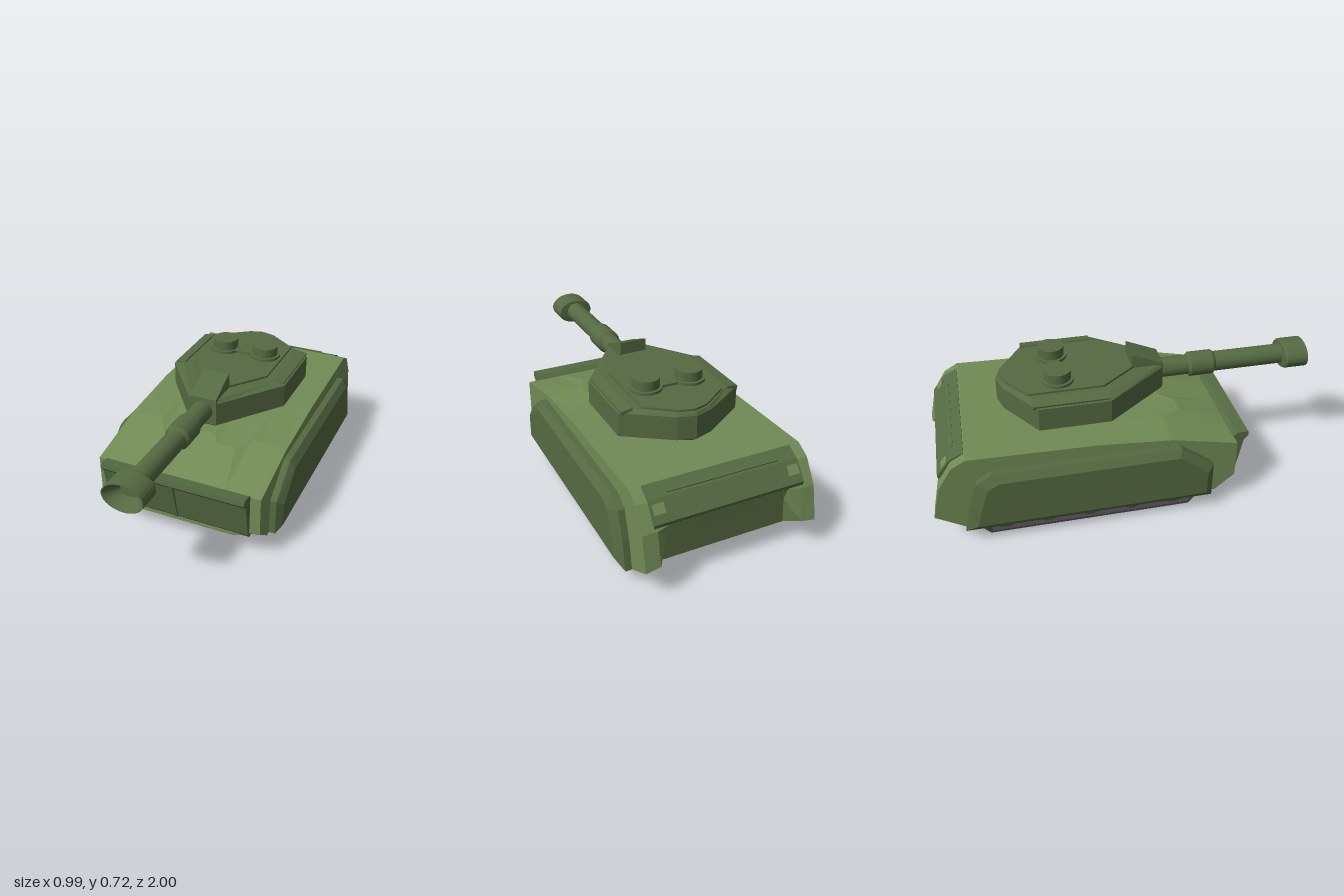
import * as THREE from 'three';

const mat = (color) => new THREE.MeshStandardMaterial({ color, flatShading: true, side: THREE.DoubleSide });
const HULL = mat(0x718b55), DARK = mat(0x556a42), TRACK = mat(0x454346), WHEEL = mat(0x5c5a5e);

function add(parent, name, geometry, material) {
  const mesh = new THREE.Mesh(geometry, material);
  mesh.name = name;
  parent.add(mesh);
  return mesh;
}

// Closed solid through rings of equal point count; each ring is [2D points, level].
// place(a, b, level) maps a ring point into space.
function loft(rings, place) {
  const n = rings[0][0].length, pos = [], idx = [];
  for (const [pts, level] of rings) for (const [a, b] of pts) pos.push(...place(a, b, level));
  for (let r = 0; r < rings.length - 1; r++) {
    for (let i = 0; i < n; i++) {
      const j = (i + 1) % n, a = r * n + i, b = r * n + j;
      idx.push(a, b, b + n, a, b + n, a + n);
    }
  }
  const cap = (r, flip) => {
    const pts = rings[r][0].map(([a, b]) => new THREE.Vector2(a, b));
    const ccw = !THREE.ShapeUtils.isClockWise(pts);
    for (const [a, b, c] of THREE.ShapeUtils.triangulateShape(pts, [])) {
      const t = [a + r * n, b + r * n, c + r * n];
      if (flip === ccw) t.reverse();
      if (!ccw) t.reverse();
      if (THREE.ShapeUtils.isClockWise(pts)) t.reverse();
      idx.push(...t);
    }
  };
  cap(0, true);
  cap(rings.length - 1, false);
  // Turn every face outwards if the enclosed volume comes out negative
  const v = (i) => new THREE.Vector3().fromArray(pos, i * 3);
  let volume = 0;
  for (let i = 0; i < idx.length; i += 3) volume += v(idx[i]).dot(v(idx[i + 1]).cross(v(idx[i + 2])));
  if (volume < 0) idx.reverse();
  const g = new THREE.BufferGeometry();
  g.setAttribute('position', new THREE.Float32BufferAttribute(pos, 3));
  g.setIndex(idx);
  const flat = g.toNonIndexed();
  flat.computeVertexNormals();
  return flat;
}
const alongX = (z, y, x) => [x, y, z];
const alongY = (x, z, y) => [x, y, z];
const mirrorX = (half) => [...half, ...half.filter(([x]) => x > 0).reverse().map(([x, z]) => [-x, z])];
const prism = (profile, x0, x1) => loft([[profile, x0], [profile, x1]], alongX);

function buildHull(group) {
  // Side profile (z, y); front crease, lower nose and tail change with x
  const section = (bottomZ, nose, crease, tailTop, tail) => [
    [bottomZ, 0.075], nose, [0.51, 0.36], crease, [-0.2, 0.465],
    [-0.82, 0.48], [-0.89, 0.44], tailTop, tail, [-0.86, 0.075],
  ];
  const half = [
    [section(0.41, [0.51, 0.16], [0.17, 0.435], [-0.96, 0.33], [-1, 0.16]), 0.433],
    [section(0.42, [0.515, 0.145], [0.17, 0.44], [-0.96, 0.33], [-0.995, 0.17]), 0.36],
    [section(0.45, [0.52, 0.115], [0.17, 0.445], [-0.95, 0.34], [-0.925, 0.27]), 0.3],
    [section(0.45, [0.52, 0.115], [0.17, 0.45], [-0.95, 0.34], [-0.925, 0.27]), 0.25],
    [section(0.45, [0.52, 0.115], [0.27, 0.44], [-0.95, 0.34], [-0.92, 0.26]), 0.2],
    [section(0.45, [0.52, 0.115], [0.27, 0.44], [-0.95, 0.34], [-0.915, 0.25]), 0.1],
    [section(0.45, [0.52, 0.115], [0.2, 0.45], [-0.95, 0.34], [-0.915, 0.25]), 0.06],
  ];
  const rings = [...half, ...half.slice().reverse().map(([p, x]) => [p, -x])];
  add(group, 'hull', loft(rings, alongX), HULL);

  // Overhanging bow plate with a lip and a centre rib
  const bow = [[0.47, 0.13], [0.51, 0.125], [0.53, 0.15], [0.565, 0.335], [0.588, 0.36], [0.583, 0.384], [0.525, 0.38], [0.48, 0.34]];
  add(group, 'bowPlate', prism(bow, -0.38, 0.38), DARK);
  add(group, 'bowRib', prism([[0.51, 0.135], [0.54, 0.15], [0.587, 0.365], [0.53, 0.36]], -0.01, 0.01), DARK);

  // Rear deck panel with a slot and two lamps
  const panel = [[-0.825, 0.483], [-0.893, 0.449], [-0.96, 0.365], [-0.955, 0.345], [-0.88, 0.42], [-0.82, 0.46]];
  add(group, 'rearPanel', prism(panel, -0.375, 0.375), DARK);
  add(group, 'rearSlot', prism([[-0.872, 0.464], [-0.882, 0.46], [-0.88, 0.44], [-0.87, 0.44]], -0.28, 0.28), DARK);
  for (const s of [-1, 1]) {
    const lamp = [[-0.908, 0.435], [-0.938, 0.398], [-0.93, 0.385], [-0.9, 0.42]];
    add(group, 'rearLamp', prism(lamp, s * 0.31, s * 0.365), HULL);
  }

  // Armoured side skirts with a bevelled outer face
  const full = [[0.382, 0.075], [0.382, 0.27], [0.21, 0.4], [-0.71, 0.4], [-0.785, 0.355], [-0.83, 0.22], [-0.86, 0.075]];
  const inset = [[0.382, 0.115], [0.382, 0.24], [0.2, 0.362], [-0.68, 0.362], [-0.735, 0.33], [-0.775, 0.21], [-0.8, 0.115]]
    .map(([z, y]) => [z > 0.3 ? z - 0.035 : z, y]);
  for (const s of [-1, 1]) {
    add(group, 'sideSkirt', loft([[full, s * 0.4], [full, s * 0.465], [inset, s * 0.493]], alongX), DARK);
  }
}

function buildTrack(group, side) {
  const track = new THREE.Group();
  track.name = side > 0 ? 'leftTrack' : 'rightTrack';
  const belt = [[0.345, 0.085], [0.272, 0], [-0.745, 0], [-0.82, 0.085], [-0.803, 0.085], [-0.737, 0.012], [0.264, 0.012], [0.328, 0.085]];
  add(track, 'belt', prism(belt, side * 0.31, side * 0.425), TRACK);
  for (let i = 0; i < 5; i++) {
    const z = 0.195 - i * 0.215;
    for (const [name, r, x, w, m] of [['wheel', 0.069, 0.367, 0.09, TRACK], ['wheelDisc', 0.05, 0.367, 0.1, WHEEL], ['wheelHub', 0.025, 0.367, 0.112, TRACK]]) {
      const wheel = add(track, name, new THREE.CylinderGeometry(r, r, w, 20).rotateZ(Math.PI / 2), m);
      wheel.position.set(side * x, 0.08, z);
    }
  }
  group.add(track);
}

function buildTurret(group) {
  const turret = new THREE.Group();
  turret.name = 'turret';
  const plan = mirrorX([[0.072, 0.213], [0.314, -0.105], [0.314, -0.458], [0.09, -0.605], [0, -0.632]]);
  const scaled = (kx, kz) => plan.map(([x, z]) => [x * kx, -0.21 + (z + 0.21) * kz]);
  add(turret, 'turretBody', loft([[scaled(0.7, 0.94), 0.487], [plan, 0.507], [plan, 0.627], [scaled(0.85, 0.98), 0.642]], alongY), DARK);
  const ring = add(turret, 'turretRing', new THREE.CylinderGeometry(0.19, 0.19, 0.04, 32), DARK);
  ring.position.set(0, 0.475, -0.2);

  // Raised roof plate
  const roof = mirrorX([[0.07, 0.06], [0.21, -0.12], [0.21, -0.49], [0.07, -0.59], [0, -0.61]]);
  add(turret, 'roofPlate', loft([[roof, 0.635], [roof, 0.653]], alongY), DARK);

  // Twin hatches joined by a narrow waist
  add(turret, 'hatchBridge', new THREE.BoxGeometry(0.13, 0.016, 0.065).translate(0, 0.658, -0.335), DARK);
  for (const s of [-1, 1]) {
    add(turret, 'hatchBase', new THREE.CylinderGeometry(0.081, 0.081, 0.018, 28).translate(s * 0.115, 0.658, -0.335), DARK);
    add(turret, 'hatch', new THREE.CylinderGeometry(0.067, 0.067, 0.055, 28).translate(s * 0.115, 0.688, -0.335), DARK);
    // Tilted rails along the roof edge
    const rail = add(turret, 'roofRail', new THREE.BoxGeometry(0.056, 0.018, 0.37), DARK);
    rail.position.set(s * 0.277, 0.635, -0.292);
    rail.rotation.z = -s * 0.18;
  }

  // Wedge over the gun mount
  const low = [[-0.076, 0.05], [0.076, 0.05], [0.074, 0.215], [-0.074, 0.215]];
  const high = [[-0.07, 0.05], [0.07, 0.05], [0.072, 0.214], [-0.072, 0.214]];
  add(turret, 'gunWedge', loft([[low, 0], [high, 1]], (x, z, t) => [x, t ? (z > 0.1 ? 0.648 : 0.718) : 0.6, z]), DARK);
  group.add(turret);
}

function buildGun(group) {
  const gun = new THREE.Group();
  gun.name = 'gun';
  gun.position.y = 0.58;
  const lathe = (pts) => new THREE.LatheGeometry(pts.map(([r, z]) => new THREE.Vector2(r, z)), 32).rotateX(Math.PI / 2);
  add(gun, 'barrel', lathe([[0, 0.15], [0.052, 0.15], [0.052, 0.89], [0, 0.89]]), DARK);
  add(gun, 'barrelSleeve', lathe([[0.052, 0.36], [0.064, 0.372], [0.064, 0.492], [0.052, 0.507]]), DARK);
  // Flattened muzzle with a funnel-shaped mouth
  const muzzle = add(gun, 'muzzle', lathe([[0.052, 0.875], [0.095, 0.879], [0.102, 0.888], [0.102, 1], [0.097, 1], [0.045, 0.93], [0.045, 0.9], [0, 0.9]]), DARK);
  muzzle.scale.y = 0.69;
  // Circular bore floor inside the flattened mouth
  add(gun, 'bore', new THREE.CircleGeometry(0.045, 28).translate(0, 0, 0.935), DARK);
  group.add(gun);
}

export function createModel() {
  const model = new THREE.Group();
  model.name = 'tank';
  buildHull(model);
  for (const side of [-1, 1]) buildTrack(model, side);
  buildTurret(model);
  buildGun(model);
  return model;
}
